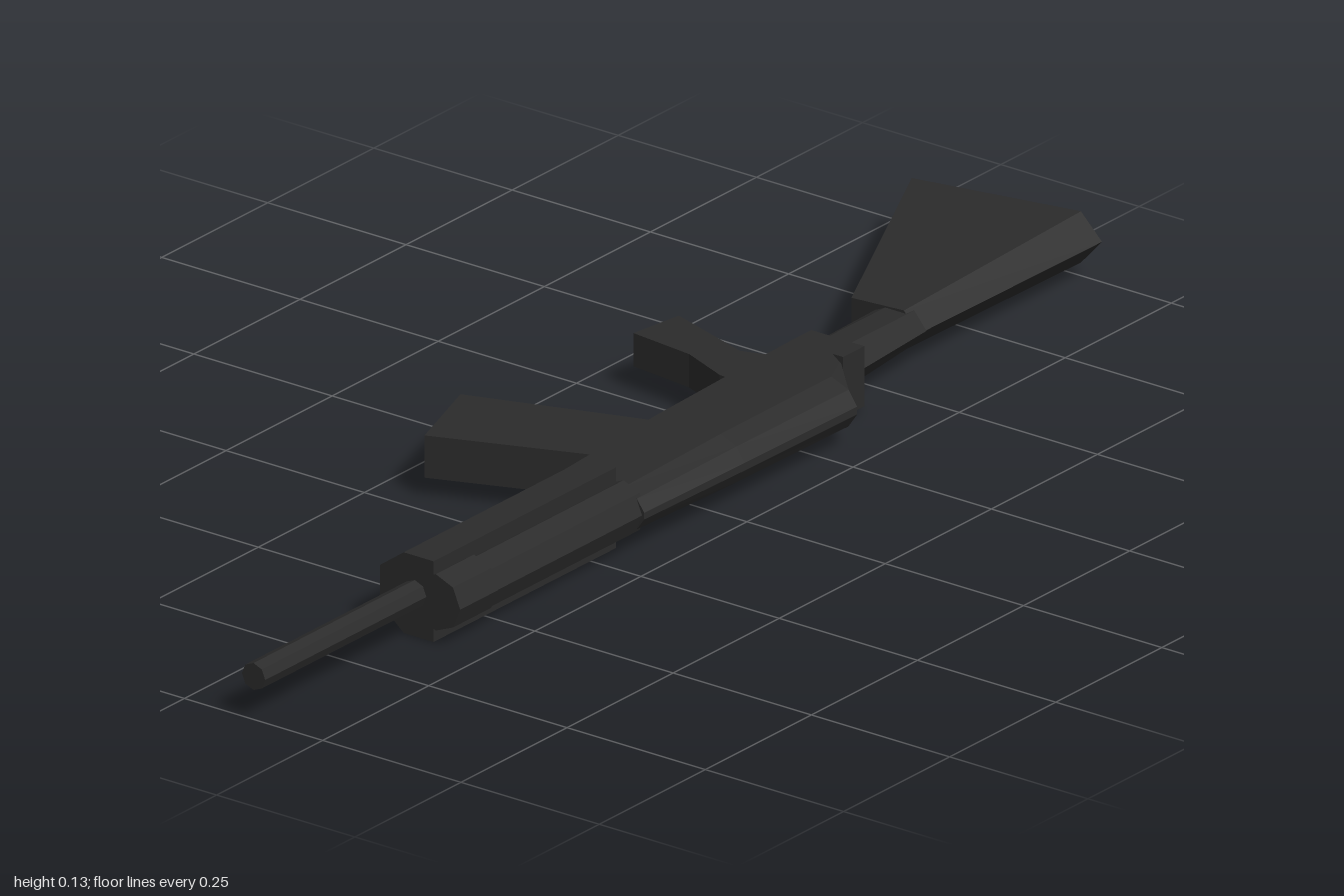
import * as THREE from 'three';

const MID = 0.066; // height of the symmetry plane

const gunmetal = new THREE.MeshStandardMaterial({ color: 0x2b2b2b, flatShading: true });
gunmetal.name = 'gunmetal';

// Loft along x. Each section is { x, p } where p lists [z, half thickness] from underside to top.
function loft(sections) {
  const loops = sections.map(({ x, p }) => [
    ...p.map(([z, h]) => [x, MID + h, z]),
    ...[...p].reverse().map(([z, h]) => [x, MID - h, z]),
  ]);
  const pos = [];
  const tri = (a, b, c) => pos.push(...a, ...b, ...c);
  const n = loops[0].length;
  for (let s = 0; s < loops.length - 1; s++) {
    const a = loops[s], b = loops[s + 1];
    for (let i = 0; i < n; i++) {
      const j = (i + 1) % n;
      tri(a[i], a[j], b[j]);
      tri(a[i], b[j], b[i]);
    }
  }
  const first = loops[0], last = loops[loops.length - 1];
  for (let i = 1; i < n - 1; i++) {
    tri(first[0], first[i + 1], first[i]);
    tri(last[0], last[i], last[i + 1]);
  }
  const g = new THREE.BufferGeometry();
  g.setAttribute('position', new THREE.Float32BufferAttribute(pos, 3));
  g.computeVertexNormals();
  return g;
}

// Flat outline in the x-z plane, given thickness in y.
function slab(points, thickness) {
  const shape = new THREE.Shape(points.map(([x, z]) => new THREE.Vector2(x, -z)));
  const g = new THREE.ExtrudeGeometry(shape, { depth: thickness, bevelEnabled: false });
  return g.rotateX(-Math.PI / 2).translate(0, MID - thickness / 2, 0);
}

function rod(x0, x1, z, radius, sides) {
  const g = new THREE.CylinderGeometry(radius, radius, x1 - x0, sides);
  return g.rotateZ(Math.PI / 2).translate((x0 + x1) / 2, MID, z);
}

export function createModel() {
  const model = new THREE.Group();
  model.name = 'rifle';
  const add = (name, geometry) => {
    const mesh = new THREE.Mesh(geometry, gunmetal);
    mesh.name = name;
    model.add(mesh);
  };

  // Barrel and the tube above it
  add('barrel', rod(-1, -0.55, 0.125, 0.021, 8).translate(0, 0.004, 0));
  add('upperTube', rod(-0.62, -0.18, 0.165, 0.041, 8));
  add('upperTubeCap', rod(-0.62, -0.53, 0.163, 0.044, 8));

  // Chamfered handguard
  const guard = [[0.062, 0.032], [0.08, 0.042], [0.105, 0.063], [0.159, 0.063]];
  add('handguard', loft([{ x: -0.62, p: guard }, { x: -0.19, p: guard }]));

  // Receiver with a rounded top that slopes down at the rear
  const body = (x, bottom, top, w) => ({
    x,
    p: [[bottom, w * 0.95], [top - (top - bottom) * 0.27, w],
      [top - (top - bottom) * 0.09, w * 0.7], [top, w * 0.15]],
  });
  add('receiver', loft([
    body(-0.19, 0.062, 0.21, 0.034),
    body(0.04, 0.054, 0.215, 0.04),
    body(0.3, 0.046, 0.219, 0.041),
    body(0.375, 0.044, 0.14, 0.041),
  ]));

  // Collar at the rear of the receiver
  add('collar', new THREE.BoxGeometry(0.05, 0.094, 0.096).translate(0.395, 0.058, 0.092));

  // Magazine and grip
  add('magazine', slab([[-0.21, -0.172], [-0.06, -0.222], [0.035, 0.06], [0.02, 0.08], [-0.11, 0.08], [-0.12, 0.06]], 0.066));
  add('grip', slab([[0.28, -0.17], [0.37, -0.157], [0.322, -0.01], [0.345, 0.06], [0.23, 0.06], [0.235, 0.02], [0.268, -0.06]], 0.052));

  // Ridged neck and flared stock
  add('stockNeck', loft([
    { x: 0.41, p: [[0.052, 0.022], [0.07, 0.034], [0.11, 0.034], [0.135, 0]] },
    { x: 0.59, p: [[0.042, 0.018], [0.06, 0.026], [0.1, 0.026], [0.122, 0]] },
  ]));
  add('stock', loft([
    { x: 0.572, p: [[0, 0.026], [0.095, 0.031], [0.12, 0]] },
    { x: 0.962, p: [[-0.19, 0.03], [0.09, 0.04], [0.125, 0]] },
  ].map((s) => s)));

  // Lean the butt plate so its top sits further back
  const stock = model.getObjectByName('stock').geometry;
  const pos = stock.attributes.position;
  for (let i = 0; i < pos.count; i++) {
    if (pos.getX(i) > 0.9) pos.setX(i, 0.962 + (pos.getZ(i) + 0.19) * 0.12);
  }
  stock.computeVertexNormals();

  return model;
}
